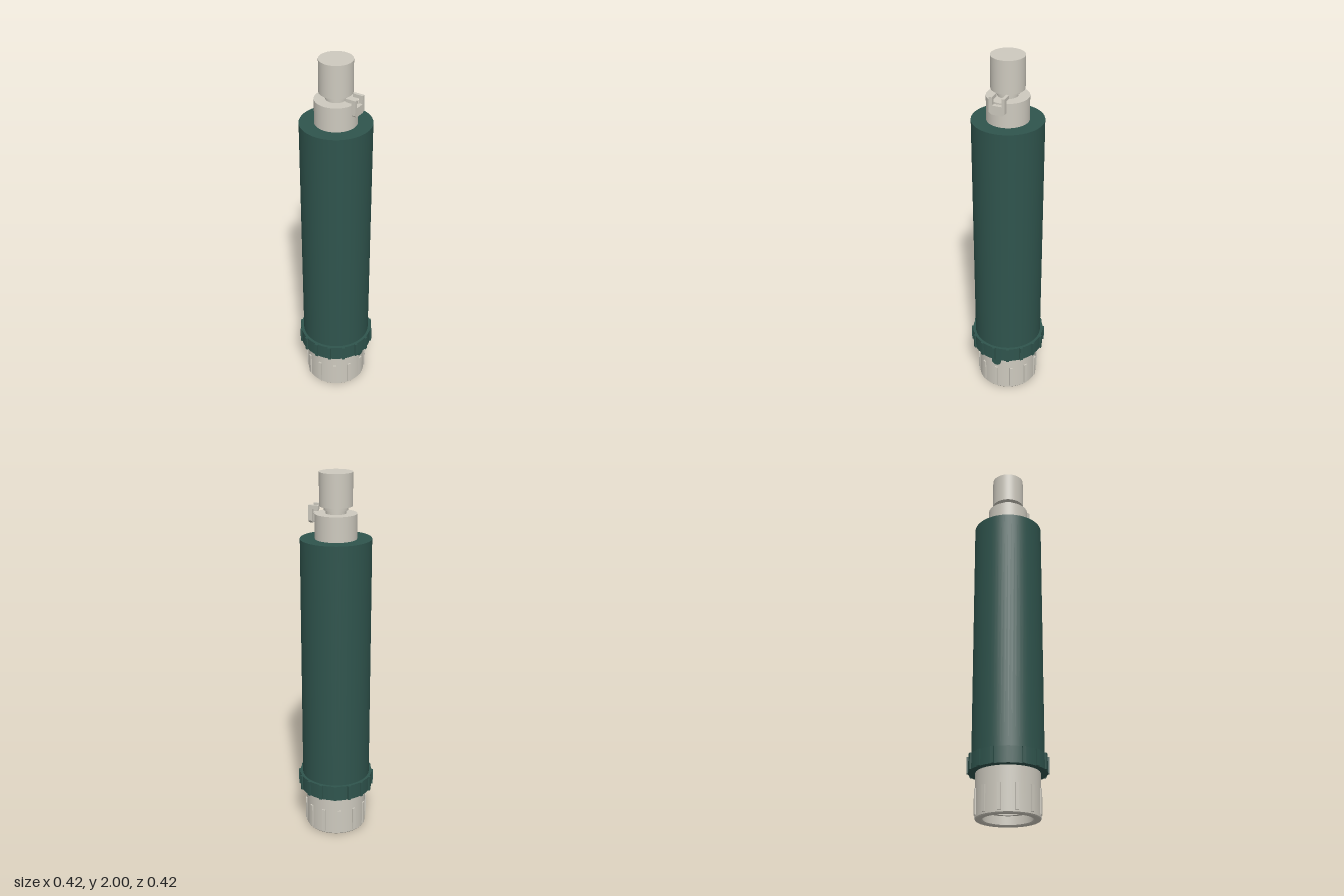
import * as THREE from 'three';

export function createModel() {
  const model = new THREE.Group();
  const green = new THREE.MeshStandardMaterial({ color: 0x2f544d });
  green.name = 'dark green';
  const beige = new THREE.MeshStandardMaterial({ color: 0xcdc9be });
  beige.name = 'warm grey';

  function add(name, geometry, material, parent = model) {
    const mesh = new THREE.Mesh(geometry, material);
    mesh.name = name;
    parent.add(mesh);
    return mesh;
  }
  function cylinder(name, radius, y0, y1, material) {
    const g = new THREE.CylinderGeometry(radius, radius, y1 - y0, 64);
    return add(name, g.translate(0, (y0 + y1) / 2, 0), material);
  }
  // Evenly spaced grip ribs around the axis
  function ribs(name, count, inner, outer, y0, y1, width, material) {
    const group = new THREE.Group();
    group.name = name;
    const g = new THREE.BoxGeometry(outer - inner, y1 - y0, width);
    g.translate((inner + outer) / 2, (y0 + y1) / 2, 0);
    for (let i = 0; i < count; i++) {
      add('rib', g, material, group).rotation.y = (i / count) * Math.PI * 2;
    }
    model.add(group);
  }

  // Hollow base sleeve with a stepped bore, one band per profile segment for sharp edges
  const base = new THREE.Group();
  base.name = 'baseSleeve';
  const profile = [
    [0, 0.22], [0.115, 0.22], [0.115, 0.075], [0.108, 0.075], [0.108, 0.05],
    [0.127, 0.05], [0.127, 0.005], [0.132, 0], [0.162, 0], [0.166, 0.005], [0.166, 0.235],
  ].map(([r, y]) => new THREE.Vector2(r, y));
  for (let i = 0; i < profile.length - 1; i++) {
    add('sleeveBand', new THREE.LatheGeometry([profile[i], profile[i + 1]], 64), beige, base);
  }
  model.add(base);
  ribs('baseRibs', 12, 0.155, 0.173, 0.015, 0.148, 0.018, beige);

  // Pin on the side of the base
  const pin = new THREE.CylinderGeometry(0.027, 0.027, 0.03, 16);
  add('sidePin', pin.rotateZ(Math.PI / 2).translate(0.157, 0.195, 0), green);

  // Collar and main barrel
  cylinder('collar', 0.202, 0.235, 0.32, green);
  ribs('collarRibs', 16, 0.19, 0.21, 0.235, 0.32, 0.017, green);
  cylinder('barrel', 0.187, 0.31, 1.66, green);

  // Stepped neck and top cap
  cylinder('shoulder', 0.11, 1.65, 1.79, beige);
  cylinder('neck', 0.053, 1.78, 1.84, beige);
  cylinder('neckRing', 0.063, 1.808, 1.825, beige);
  cylinder('cap', 0.087, 1.828, 2, beige);

  // Forked clip: notched plate with two arms reaching toward the neck
  const clip = new THREE.Group();
  clip.name = 'clip';
  const fork = new THREE.Shape([
    [-0.042, 1.748], [-0.03, 1.737], [0.03, 1.737], [0.042, 1.748], [0.042, 1.828],
    [0.025, 1.828], [0.025, 1.785], [-0.025, 1.785], [-0.025, 1.828], [-0.042, 1.828],
  ].map(([z, y]) => new THREE.Vector2(z, y)));
  const plate = new THREE.ExtrudeGeometry(fork, { depth: 0.022, bevelEnabled: false });
  add('clipPlate', plate.rotateY(Math.PI / 2).translate(0.116, 0, 0), beige, clip);
  for (const side of [-1, 1]) {
    const arm = new THREE.BoxGeometry(0.05, 0.018, 0.017);
    add('clipArm', arm.translate(0.107, 1.819, side * 0.0335), beige, clip);
  }
  const foot = new THREE.BoxGeometry(0.03, 0.035, 0.05);
  add('clipFoot', foot.translate(0.112, 1.763, 0), beige, clip);
  model.add(clip);

  return model;
}
